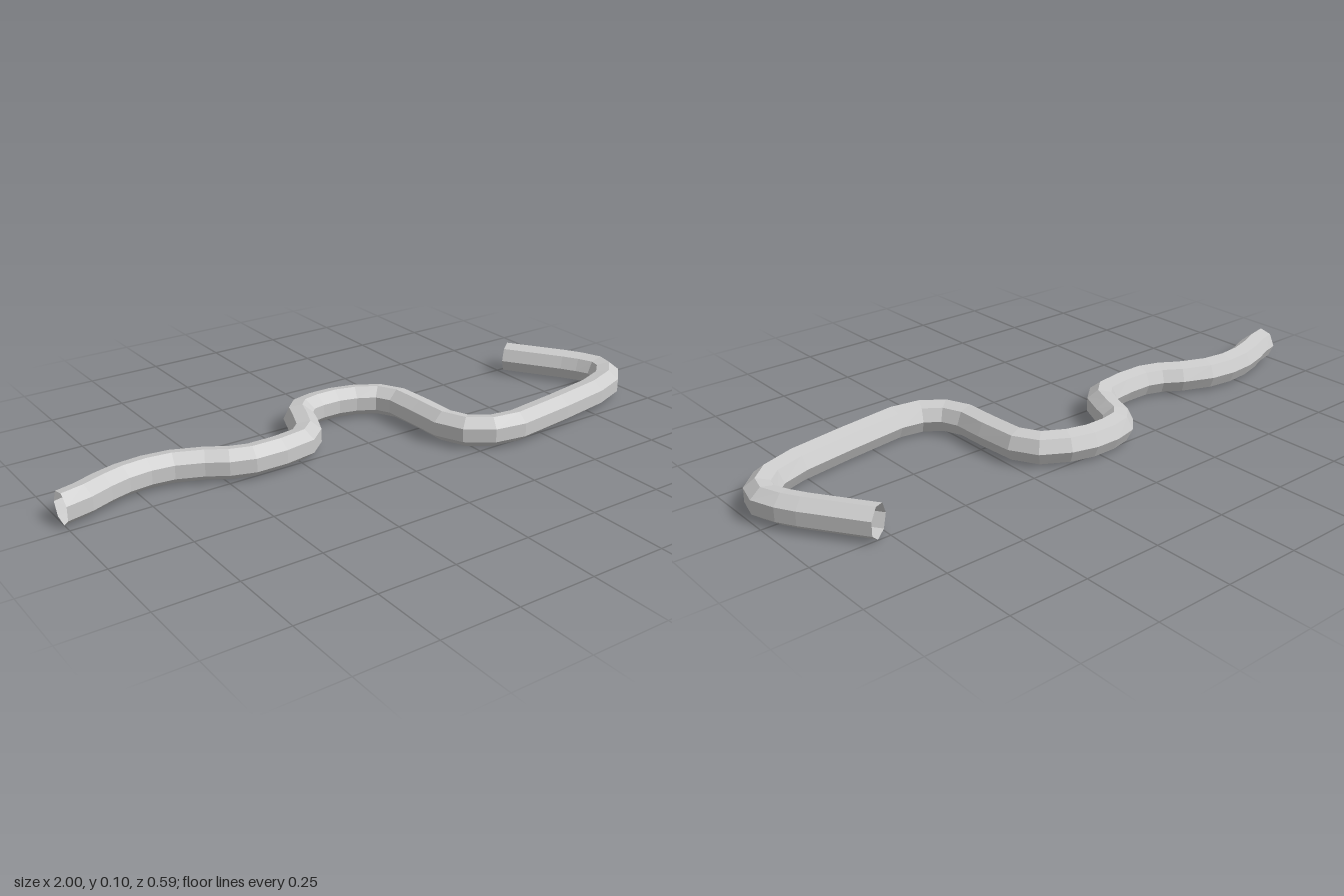
import * as THREE from 'three';

const SIDES = 7;
const RADIUS = 0.0507;
const MID_Y = 0.0494;

// Centre line of the rod as [x, z], one cross-section per point
const PATH = [
  [-1, -0.05], [-0.93, -0.067], [-0.86, -0.095], [-0.79, -0.115], [-0.71, -0.122], [-0.63, -0.112],
  [-0.54, -0.075], [-0.48, -0.037], [-0.415, -0.016], [-0.32, -0.016], [-0.23, -0.03],
  [-0.185, -0.07], [-0.155, -0.14], [-0.135, -0.195], [-0.1, -0.23], [-0.042, -0.243],
  [0.03, -0.243], [0.1, -0.225], [0.17, -0.185], [0.205, -0.12], [0.212, 0], [0.214, 0.11],
  [0.245, 0.185], [0.31, 0.232], [0.4, 0.246], [0.6, 0.219], [0.78, 0.189], [0.885, 0.152],
  [0.94, 0.1], [0.953, 0.05], [0.93, -0.01], [0.9, -0.063], [0.78, -0.241],
];

// Sweeps a seven-sided ring along the path, one corner pointing to the left of travel
function sweptRod() {
  const curve = new THREE.CatmullRomCurve3(PATH.map(([x, z]) => new THREE.Vector3(x, MID_Y, z)));
  const last = PATH.length - 1;
  const positions = [];
  const index = [];
  for (let i = 0; i <= last; i++) {
    const p = curve.points[i];
    // the first end is cut square to x
    const t = i === 0 ? new THREE.Vector3(1, 0, 0) : curve.getTangent(i / last);
    for (let j = 0; j < SIDES; j++) {
      const a = (j / SIDES) * Math.PI * 2;
      const side = RADIUS * Math.cos(a);
      positions.push(p.x + t.z * side, p.y + RADIUS * Math.sin(a), p.z - t.x * side);
      if (i < last) {
        const k = (j + 1) % SIDES;
        const row = i * SIDES;
        const next = row + SIDES;
        index.push(row + j, row + k, next + j, row + k, next + k, next + j);
      }
    }
  }
  const geometry = new THREE.BufferGeometry();
  geometry.setAttribute('position', new THREE.Float32BufferAttribute(positions, 3));
  geometry.setIndex(index);
  geometry.computeVertexNormals();
  return geometry;
}

export function createModel() {
  const group = new THREE.Group();
  group.name = 'bentRod';
  // Open-ended hollow rod
  const material = new THREE.MeshStandardMaterial({
    color: 0xcccccc, flatShading: true, side: THREE.DoubleSide,
  });
  const rod = new THREE.Mesh(sweptRod(), material);
  rod.name = 'rod';
  group.add(rod);
  return group;
}
